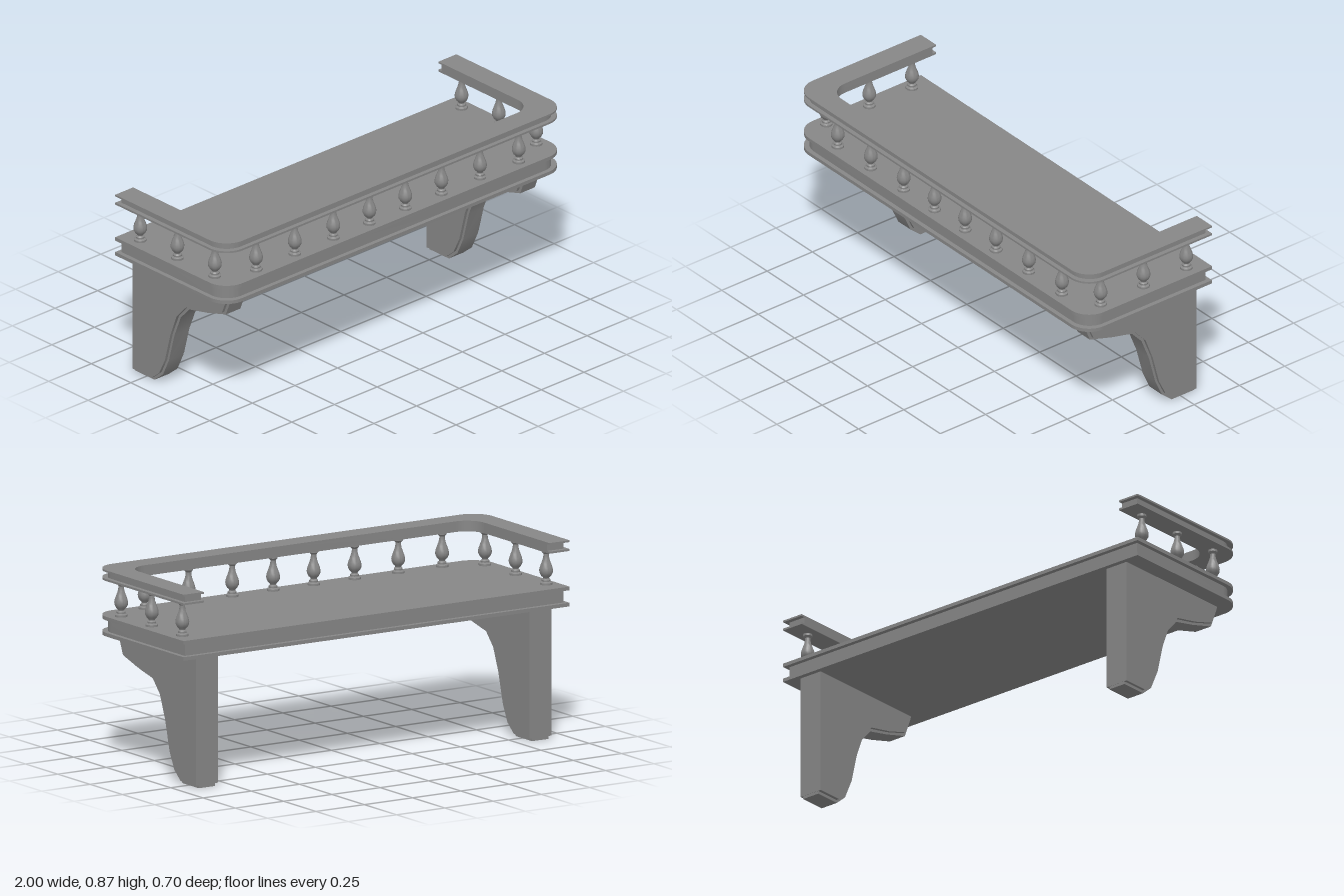
import * as THREE from 'three';
import { toCreasedNormals } from 'three/addons/utils/BufferGeometryUtils.js';

const material = new THREE.MeshStandardMaterial({ color: 0x868686 });

function addMesh(parent, name, geometry) {
  const mesh = new THREE.Mesh(geometry, material);
  mesh.name = name;
  parent.add(mesh);
  return mesh;
}

// Front path with two rounded corners, running from +x round to -x or back again
function roundedFront(shape, x, z, r, reverse = false) {
  const s = reverse ? -1 : 1;
  shape.lineTo(s * x, z - r);
  shape.absarc(s * (x - r), z - r, r, reverse ? Math.PI : 0, Math.PI / 2, reverse);
  shape.lineTo(-s * (x - r), z);
  shape.absarc(-s * (x - r), z - r, r, Math.PI / 2, reverse ? 0 : Math.PI, reverse);
}

// Full board outline, drawn in x and z
function boardShape(inset) {
  const x = 1 - inset, z = 0.349 - inset;
  const shape = new THREE.Shape();
  shape.moveTo(x, -z);
  roundedFront(shape, x, z, 0.1 - inset / 2);
  shape.lineTo(-x, -z);
  shape.closePath();
  return shape;
}

// U-shaped rail outline, open at the back, with a plain inner face
function railShape(inset) {
  const x = 1 - inset, z = 0.349 - inset;
  const ix = 0.895, iz = 0.245;
  const shape = new THREE.Shape();
  shape.moveTo(x, -z);
  roundedFront(shape, x, z, 0.1 - inset / 2);
  shape.lineTo(-x, -z);
  shape.lineTo(-ix, -z);
  roundedFront(shape, ix, iz, 0.09, true);
  shape.lineTo(ix, -z);
  shape.closePath();
  return shape;
}

// Flat layer between two heights
function layer(shape, y0, y1) {
  const g = new THREE.ExtrudeGeometry(shape, { depth: y1 - y0, bevelEnabled: false, curveSegments: 10 });
  g.rotateX(Math.PI / 2).translate(0, y1, 0);
  return toCreasedNormals(g, 0.6);
}

// Bracket plate cut from a side profile of [z, y] points
function plate(points, width) {
  const shape = new THREE.Shape(points.map(([z, y]) => new THREE.Vector2(z, y)));
  const g = new THREE.ExtrudeGeometry(shape, { depth: width, bevelEnabled: false });
  g.rotateY(-Math.PI / 2).translate(width / 2, 0, 0);
  return toCreasedNormals(g, 0.6);
}

export function createModel() {
  const model = new THREE.Group();
  model.name = 'wallShelf';

  // Shelf board: recessed core between two lips
  const shelf = new THREE.Group();
  shelf.name = 'shelf';
  model.add(shelf);
  addMesh(shelf, 'shelfLowerLip', layer(boardShape(0), 0.576, 0.592));
  addMesh(shelf, 'shelfCore', layer(boardShape(0.02), 0.592, 0.647));
  addMesh(shelf, 'shelfUpperLip', layer(boardShape(0), 0.647, 0.663));

  // Gallery rail with the same stepped outer edge
  const rail = new THREE.Group();
  rail.name = 'rail';
  model.add(rail);
  addMesh(rail, 'railLowerLip', layer(railShape(0), 0.82, 0.829));
  addMesh(rail, 'railCore', layer(railShape(0.02), 0.829, 0.859));
  addMesh(rail, 'railUpperLip', layer(railShape(0), 0.859, 0.867));

  // Turned balusters
  const profile = [
    [0, 0.663], [0.027, 0.663], [0.027, 0.672], [0.019, 0.677], [0.019, 0.684],
    [0.013, 0.69], [0.014, 0.694], [0.023, 0.703], [0.029, 0.715], [0.03, 0.727],
    [0.027, 0.741], [0.021, 0.757], [0.015, 0.774], [0.012, 0.79], [0.012, 0.798],
    [0.02, 0.807], [0.02, 0.817], [0, 0.817],
  ].map(([r, y]) => new THREE.Vector2(r, y));
  const turned = toCreasedNormals(new THREE.LatheGeometry(profile, 20), 0.6);
  const spots = [];
  for (const x of [0.105, 0.317, 0.543, 0.77]) spots.push([x, 0.295], [-x, 0.295]);
  for (const z of [0.22, -0.017, -0.253]) spots.push([0.942, z], [-0.942, z]);
  for (const [x, z] of spots) addMesh(model, 'baluster', turned).position.set(x, 0, z);

  // Scrolled brackets: wide body with a narrower raised strip along the edge
  const strip = plate([
    [-0.326, 0.58], [-0.326, 0], [-0.202, 0], [-0.148, 0.045], [-0.111, 0.125], [-0.075, 0.26],
    [-0.035, 0.36], [0.019, 0.418], [0.13, 0.443], [0.25, 0.478], [0.291, 0.58],
  ], 0.085);
  const body = plate([
    [-0.327, 0.58], [-0.327, 0.013], [-0.205, 0.013], [-0.157, 0.054], [-0.121, 0.128], [-0.086, 0.263],
    [-0.046, 0.366], [0.013, 0.43], [0.13, 0.454], [0.24, 0.488], [0.278, 0.58],
  ], 0.113);
  for (const side of [1, -1]) {
    const bracket = new THREE.Group();
    bracket.name = side > 0 ? 'leftBracket' : 'rightBracket';
    bracket.position.x = side * 0.863;
    addMesh(bracket, 'bracketBody', body);
    addMesh(bracket, 'bracketEdgeStrip', strip);
    model.add(bracket);
  }
  return model;
}
